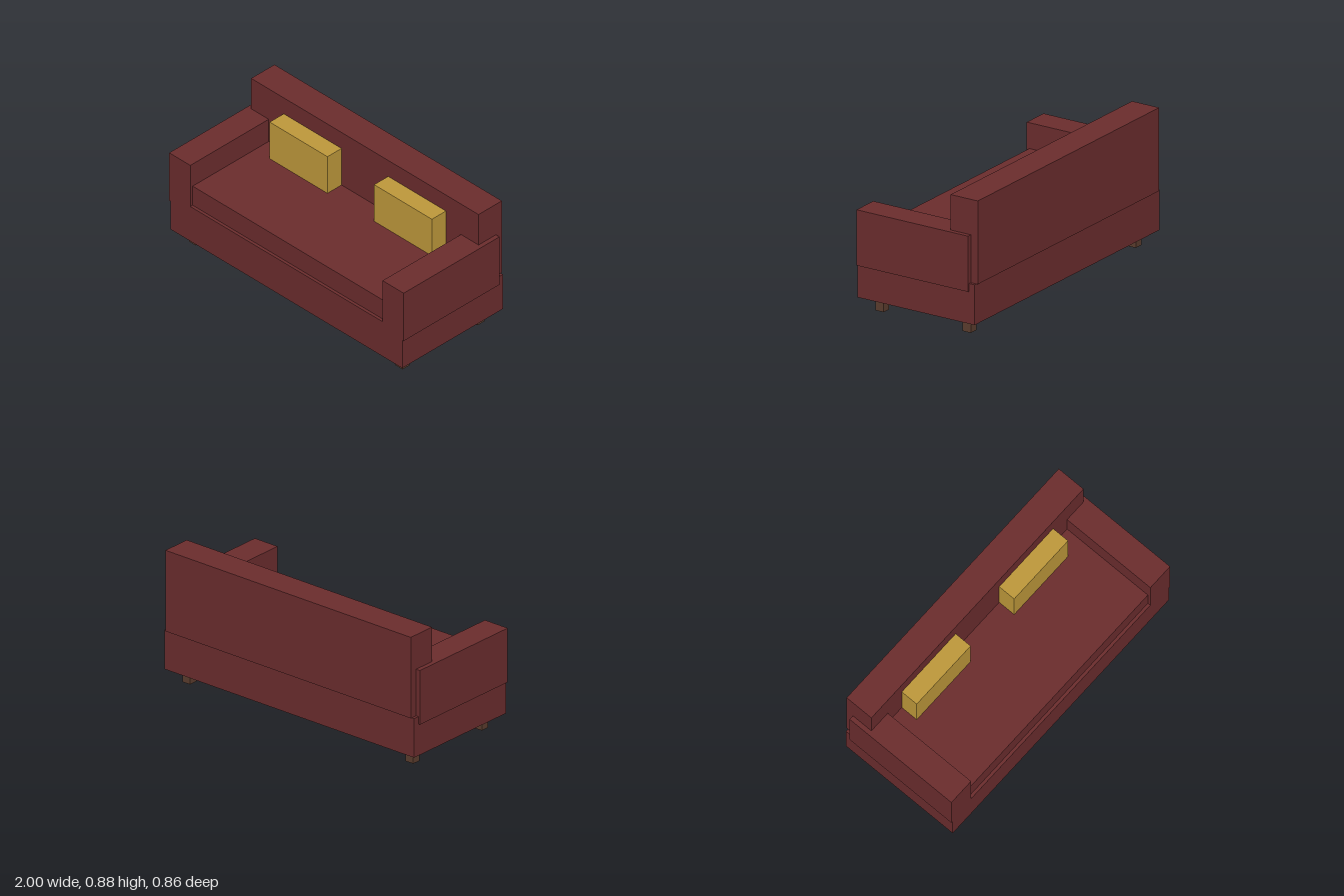
import * as THREE from 'three';

export function createModel() {
  const sofa = new THREE.Group();
  sofa.name = 'sofa';

  const material = (name, color) => {
    const m = new THREE.MeshStandardMaterial({ color });
    m.name = name;
    return m;
  };
  const fabric = material('red fabric', 0x6a2c2d);
  const mustard = material('mustard cushion', 0xbc973a);
  const wood = material('dark wood', 0x5a3c2d);

  // Box given by its extents on each axis
  const block = (name, mat, [x0, x1], [y0, y1], [z0, z1]) => {
    const mesh = new THREE.Mesh(new THREE.BoxGeometry(x1 - x0, y1 - y0, z1 - z0), mat);
    mesh.position.set((x0 + x1) / 2, (y0 + y1) / 2, (z0 + z1) / 2);
    mesh.name = name;
    sofa.add(mesh);
  };
  // The same box on both sides, left (+x) and right (-x)
  const pair = (name, mat, [x0, x1], y, z) => {
    block(name + 'Left', mat, [x0, x1], y, z);
    block(name + 'Right', mat, [-x1, -x0], y, z);
  };

  // Upholstered body
  block('base', fabric, [-0.988, 0.988], [0.09, 0.348], [-0.42, 0.43]);
  block('seatCushion', fabric, [-0.822, 0.822], [0.348, 0.49], [-0.24, 0.41]);
  block('backrest', fabric, [-0.97, 0.97], [0.348, 0.882], [-0.43, -0.233]);
  pair('armrest', fabric, [0.82, 1], [0.298, 0.655], [-0.38, 0.43]);

  // Throw pillows
  pair('pillow', mustard, [0.199, 0.692], [0.488, 0.763], [-0.235, -0.114]);

  // Legs
  pair('frontLeg', wood, [0.853, 0.912], [0, 0.092], [0.293, 0.352]);
  pair('backLeg', wood, [0.853, 0.912], [0, 0.092], [-0.34, -0.281]);

  return sofa;
}
